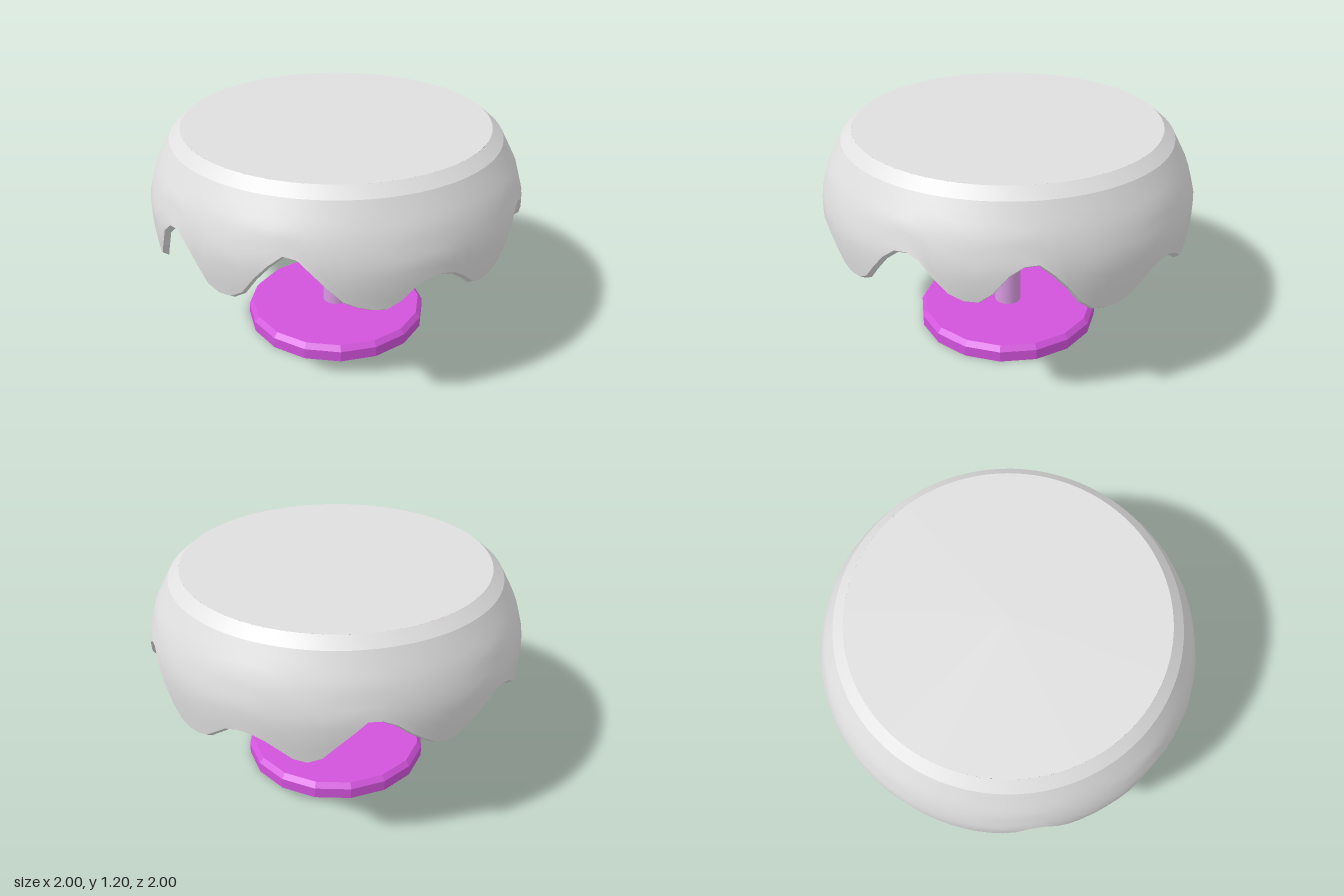
import * as THREE from 'three';

const SEG = 90;

// Wavy hem: [degrees around from the front towards +x, height]
const HEM = [
  [0, .76], [4, .66], [10, .62], [15.5, .67], [21, .8], [25.5, .88], [29, .92], [33, .89],
  [39, .78], [44, .69], [50, .64], [56, .63], [60, .67], [64.5, .75], [70, .78], [77, .75],
  [84, .65], [90, .62], [96, .67], [101.5, .78], [106, .87], [110.5, .9], [117, .86], [122, .74],
  [127, .69], [132, .69], [137, .76], [141, .86], [147, .9], [154, .8], [162, .61], [170, .58],
  [176, .61], [184, .71], [190, .74], [197, .7], [204, .62], [210, .6], [217, .73], [225, .86],
  [231, .82], [238, .72], [245, .64], [251, .63], [260, .72], [269, .8], [277, .75], [285, .66],
  [293, .64], [302, .73], [307, .84], [311, .87], [319.5, .72], [323, .63], [330, .57], [335, .6],
  [340, .7], [344.5, .83], [349.5, .89], [354, .87], [360, .76],
];

// Cloth outline: [height, radius] from the hem up to the shoulder
const PROFILE = [[.5, .97], [.62, .985], [.75, 1], [.86, 1], [1, .96], [1.15, .88], [1.2, .82]];

function lerpTable(table, v) {
  let k = 1;
  while (k < table.length - 1 && v > table[k][0]) k++;
  const [a, b] = [table[k - 1], table[k]];
  return THREE.MathUtils.lerp(a[1], b[1], (v - a[0]) / (b[0] - a[0]));
}

const hemAt = (i) => lerpTable(HEM, (i / SEG) * 360);
const radiusAt = (y) => lerpTable(PROFILE, y);

// Closed strip of rings; ring(i, j) gives [radius, height]
function ringStrip(rows, ring) {
  const pos = [], index = [];
  for (let j = 0; j < rows; j++) {
    for (let i = 0; i < SEG; i++) {
      const a = (i / SEG) * Math.PI * 2;
      const [r, y] = ring(i, j);
      pos.push(Math.sin(a) * r, y, Math.cos(a) * r);
      if (j < rows - 1) {
        const n = (i + 1) % SEG, t = j * SEG, b = t + SEG;
        index.push(t + i, b + i, b + n, t + i, b + n, t + n);
      }
    }
  }
  const g = new THREE.BufferGeometry();
  g.setAttribute('position', new THREE.Float32BufferAttribute(pos, 3));
  g.setIndex(index);
  g.computeVertexNormals();
  return g;
}

// Turned part with hard edges, closed on the axis
function turned(points, sides) {
  const g = new THREE.LatheGeometry(points.map(([r, y]) => new THREE.Vector2(r, y)), sides).toNonIndexed();
  g.computeVertexNormals();
  return g;
}

export function createModel() {
  const model = new THREE.Group();
  model.name = 'drapedTable';

  const cloth = new THREE.MeshStandardMaterial({ color: 0xdfdfdf });
  cloth.name = 'cloth grey';
  const orchid = new THREE.MeshStandardMaterial({ color: 0xd253dc });
  orchid.name = 'orchid';
  const pale = new THREE.MeshStandardMaterial({ color: 0xd89be0 });
  pale.name = 'pale orchid';

  const add = (name, geometry, material, y = 0, parent = model) => {
    const mesh = new THREE.Mesh(geometry, material);
    mesh.name = name;
    mesh.position.y = y;
    parent.add(mesh);
    return mesh;
  };

  // Foot, post, collar and table board
  add('foot', turned([[0, 0], [.51, 0], [.51, .06], [.485, .088], [0, .088]], 16), orchid);
  add('post', new THREE.CylinderGeometry(.075, .075, .95, 24, 1, true), pale, .555);
  add('collar', turned([[0, .96], [.105, .96], [.122, .985], [.122, 1.04], [0, 1.04]], 16), orchid);
  add('tableBoard', new THREE.CylinderGeometry(.79, .79, .12, 48), orchid, 1.09);

  // Tablecloth: flat top, bevelled shoulder, draped skirt, hem and lining
  const tablecloth = new THREE.Group();
  tablecloth.name = 'tablecloth';
  model.add(tablecloth);
  const top = add('clothTop', new THREE.CircleGeometry(.82, SEG), cloth, 1.2, tablecloth);
  top.rotation.x = -Math.PI / 2;
  add('clothShoulder', ringStrip(2, (i, j) => (j ? [.88, 1.15] : [.82, 1.2])), cloth, 0, tablecloth);

  const ROWS = 10, THICK = .032, DROP = .022;
  add('clothSkirt', ringStrip(ROWS, (i, j) => {
    const y = THREE.MathUtils.lerp(1.15, hemAt(i), j / (ROWS - 1));
    return [radiusAt(y), y];
  }), cloth, 0, tablecloth);
  add('clothHem', ringStrip(2, (i, j) => {
    const y = hemAt(i);
    return [radiusAt(y) - j * THICK, y - j * DROP];
  }).toNonIndexed(), cloth, 0, tablecloth).geometry.computeVertexNormals();
  add('clothLining', ringStrip(ROWS, (i, j) => {
    const hem = hemAt(i);
    const y = THREE.MathUtils.lerp(hem - DROP, 1.13, j / (ROWS - 1));
    return [radiusAt(Math.max(y, hem)) - THICK, y];
  }), cloth, 0, tablecloth);
  add('liningTop', ringStrip(2, (i, j) => (j ? [.7, 1.13] : [radiusAt(1.13) - THICK, 1.13])), cloth, 0, tablecloth);

  return model;
}
